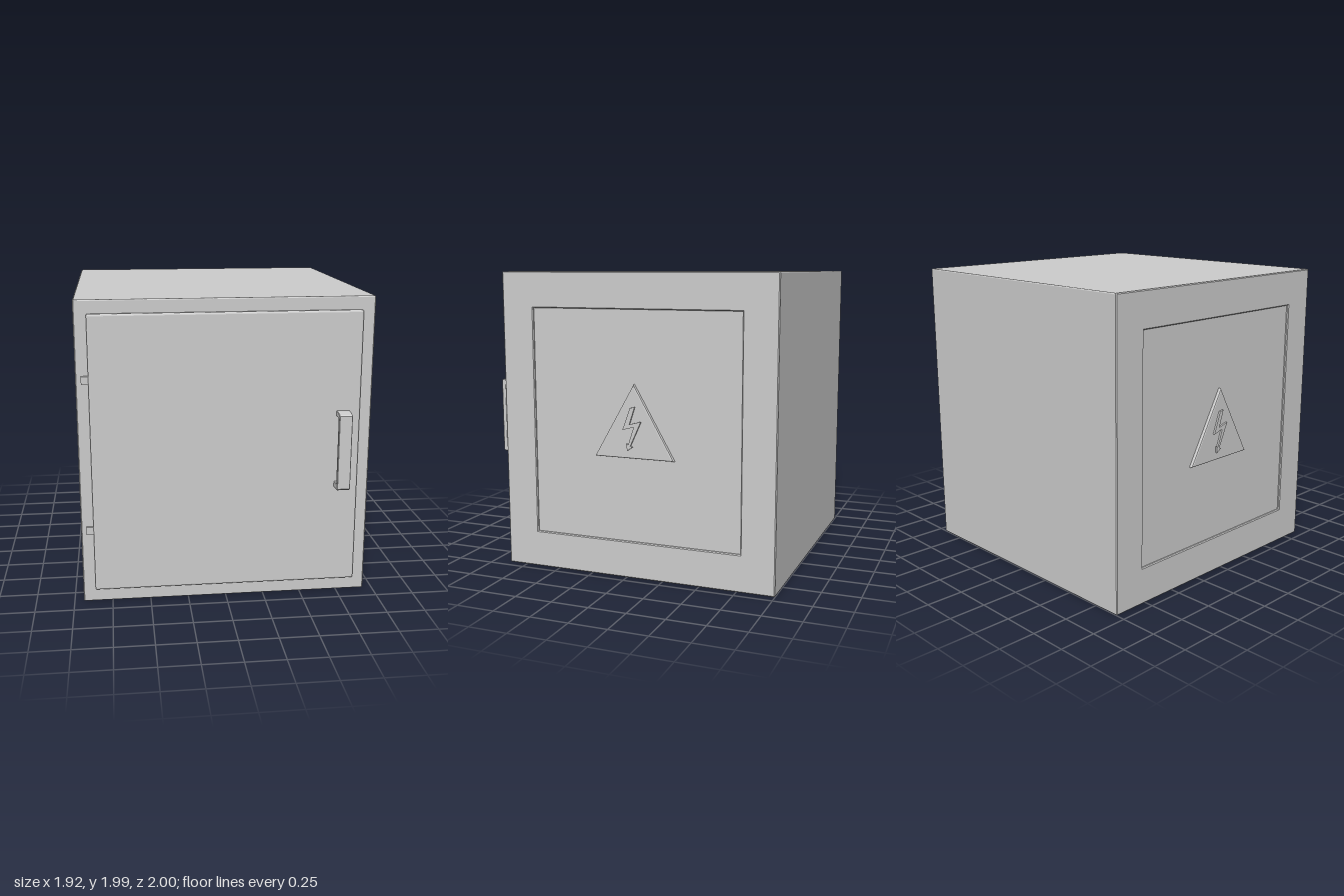
import * as THREE from 'three';

const material = new THREE.MeshStandardMaterial({ color: 0xcccccc });

function polygon(points, Type = THREE.Shape) {
  return new Type(points.map(([x, y]) => new THREE.Vector2(x, y)));
}

// Rectangle with small rounded corners
function roundedRect(x0, y0, x1, y1, r) {
  const s = new THREE.Shape();
  const h = Math.PI / 2;
  s.absarc(x1 - r, y0 + r, r, -h, 0);
  s.absarc(x1 - r, y1 - r, r, 0, h);
  s.absarc(x0 + r, y1 - r, r, h, 2 * h);
  s.absarc(x0 + r, y0 + r, r, 2 * h, 3 * h);
  s.closePath();
  return s;
}

// Extrusion spanning exactly from..to, its bevel kept inside the outline
function extrude(name, shape, from, to, bevel, segments = 1) {
  const geometry = new THREE.ExtrudeGeometry(shape, {
    depth: to - from - 2 * bevel,
    bevelEnabled: bevel > 0,
    bevelThickness: bevel,
    bevelSize: bevel,
    bevelOffset: -bevel,
    bevelSegments: segments,
    curveSegments: 4,
  });
  geometry.translate(0, 0, from + bevel);
  const mesh = new THREE.Mesh(geometry, material);
  mesh.name = name;
  return mesh;
}

function box(name, w, h, d, x, y, z) {
  const mesh = new THREE.Mesh(new THREE.BoxGeometry(w, h, d), material);
  mesh.name = name;
  mesh.position.set(x, y, z);
  return mesh;
}

export function createModel() {
  const model = new THREE.Group();
  const midZ = -0.06;

  // Cabinet shell, open through the sides where the panels sit
  const shellShape = roundedRect(-0.94, 0, 0.94, 1.985, 0.008);
  shellShape.holes.push(polygon([[-0.715, 0.245], [-0.715, 1.75], [0.715, 1.75], [0.715, 0.245]], THREE.Path));
  const shell = extrude('cabinetShell', shellShape, -0.94, 0.94, 0.006);
  shell.rotation.y = Math.PI / 2;
  shell.position.z = midZ;
  model.add(shell);

  // Recessed side panels, one box filling the opening
  model.add(box('sidePanels', 1.85, 1.52, 1.45, 0, 0.9975, midZ));

  // Warning triangle and lightning bolt on each side
  const triangle = polygon([[-0.275, 0.8], [0.275, 0.8], [0, 1.28]]);
  const bolt = polygon([
    [-0.019, 1.13], [-0.072, 0.986], [0.006, 1.007], [-0.033, 0.89], [-0.046, 0.898],
    [-0.04, 0.852], [-0.003, 0.878], [-0.018, 0.884], [0.056, 1.045], [-0.024, 1.024], [0.013, 1.137],
  ]);
  for (const side of [1, -1]) {
    const sign = new THREE.Group();
    sign.name = side > 0 ? 'leftWarningSign' : 'rightWarningSign';
    sign.add(
      extrude('warningTriangle', triangle, 0.91, 0.948, 0.012, 2),
      extrude('lightningBolt', bolt, 0.93, 0.96, 0),
    );
    sign.rotation.y = side * Math.PI / 2;
    sign.position.z = midZ;
    model.add(sign);
  }

  // Door with softened edges
  model.add(extrude('door', roundedRect(-0.86, 0.09, 0.86, 1.9, 0.01), 0.86, 0.91, 0.012, 3));

  // Hinges
  for (const y of [0.5, 1.49]) model.add(box('hinge', 0.055, 0.05, 0.03, -0.8775, y, 0.885));

  // Handle: a C-shaped grip, drawn from the side with z as the first axis
  const grip = polygon([
    [-0.9, 0.745], [-0.9, 0.783], [-0.962, 0.783], [-0.97, 0.79], [-0.97, 1.21], [-0.962, 1.222],
    [-0.9, 1.222], [-0.9, 1.258], [-0.945, 1.258], [-0.99, 1.25], [-1, 1.242],
    [-1, 0.758], [-0.99, 0.748], [-0.945, 0.745],
  ]);
  const handle = extrude('handle', grip, 0.705, 0.79, 0.003);
  handle.rotation.y = Math.PI / 2;
  model.add(handle);

  return model;
}
